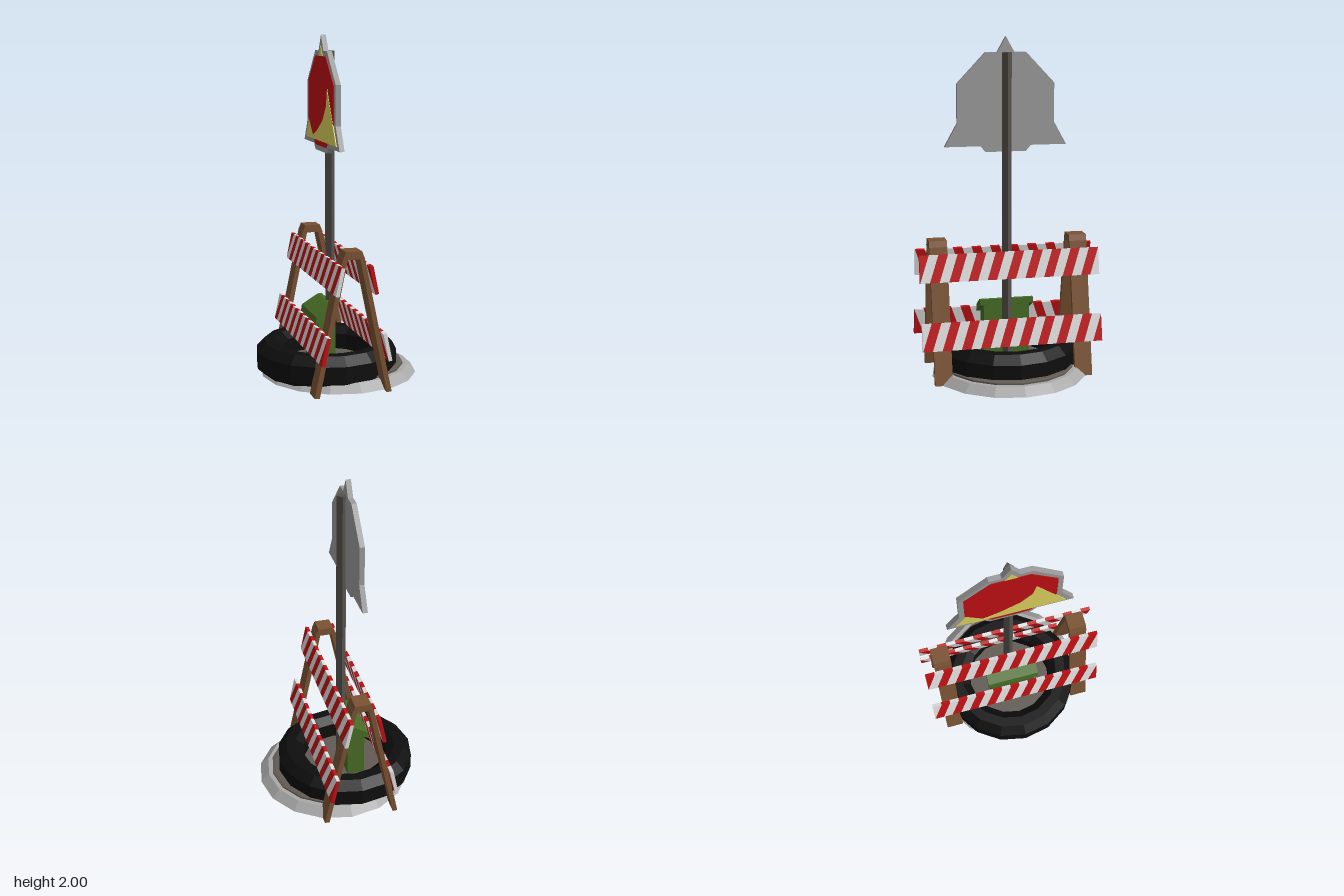
import * as THREE from 'three';
import { mergeGeometries } from 'three/addons/utils/BufferGeometryUtils.js';

const mat = (name, color, side = THREE.FrontSide) => {
  const m = new THREE.MeshStandardMaterial({ color, side });
  m.name = name;
  return m;
};

export function createModel() {
  const red = mat('stripe red', 0xc01014);
  const white = mat('stripe white', 0xdedede);
  const wood = mat('wood brown', 0x7a5232);
  const rubber = mat('rubber black', 0x0e0e0e);
  const lightGrey = mat('base grey', 0xa8a8a8);
  const darkGrey = mat('hub grey', 0x625b54);
  const poleGrey = mat('pole grey', 0x55504a);
  const signGrey = mat('sign grey', 0x9c9c9c);
  const yellow = mat('sign yellow', 0xded35e);
  const green = mat('box green', 0x486c26);

  const model = new THREE.Group();
  const add = (name, geometry, material, parent = model) => {
    const mesh = new THREE.Mesh(geometry, material);
    mesh.name = name;
    parent.add(mesh);
    return mesh;
  };
  const extrude = (points, depth) => new THREE.ExtrudeGeometry(
    new THREE.Shape(points.map(p => new THREE.Vector2(...p))), { depth, bevelEnabled: false });
  // Outline in (-z, y), thickness along +x
  const extrudeX = (points, depth) => extrude(points, depth).rotateY(Math.PI / 2);
  // Outline in (x, y), thickness centred along z
  const extrudeZ = (points, depth) => extrude(points, depth).translate(0, 0, -depth / 2);
  // Sixteen flat-sided turned body
  const turn = (points) => {
    const g = new THREE.LatheGeometry(points.map(p => new THREE.Vector2(...p)), 16).toNonIndexed();
    g.computeVertexNormals();
    return g;
  };

  // Bevelled round base with a raised dark plate
  add('baseRing', turn([[0, 0.002], [0.465, 0.002], [0.415, 0.05], [0.385, 0.05]]), lightGrey).position.x = 0.015;
  add('basePlate', turn([[0.388, 0.045], [0.388, 0.06], [0.37, 0.065], [0, 0.065]]), darkGrey).position.x = 0.015;

  // Tyre lying off-centre on the base
  add('tyre', turn([[0.26, 0.006], [0.37, 0.006], [0.42, 0.05], [0.42, 0.15], [0.37, 0.2],
    [0.31, 0.2], [0.26, 0.16], [0.26, 0.006]]), rubber).position.x = -0.06;

  // Dark and green patches on the underside
  const rad = THREE.MathUtils.degToRad;
  const arcs = [[55, 70, 0.31], [145, 70, 0.26], [225, 40, 0.27], [280, 30, 0.28], [330, 60, 0.27]];
  const patches = arcs.map(([start, span, inner]) =>
    new THREE.RingGeometry(inner, 0.36, 8, 1, rad(start + 225), rad(span)).rotateX(Math.PI / 2));
  add('undersideRubber', mergeGeometries(patches), rubber).position.set(-0.06, 0, 0);
  const greenPatch = new THREE.ShapeGeometry(new THREE.Shape([[-0.14, -0.11], [-0.09, 0.02],
    [-0.05, -0.02], [-0.06, 0.12], [-0.14, 0.1]].map(p => new THREE.Vector2(...p))));
  add('undersideBox', greenPatch.rotateX(Math.PI / 2), green);

  // Green box with a sloping lid
  add('boxBody', extrudeZ([[-0.148, 0.01], [-0.042, 0.01], [-0.042, 0.42], [-0.148, 0.36]], 0.28), green);
  add('boxLid', extrudeZ([[-0.172, 0.335], [-0.04, 0.405], [-0.04, 0.44], [-0.065, 0.44], [-0.165, 0.38]], 0.325), green);

  // Four-sided sign pole
  const pole = new THREE.CylinderGeometry(0.029, 0.029, 1.86, 4).toNonIndexed();
  pole.computeVertexNormals();
  add('pole', pole, poleGrey).position.set(-0.035, 0.98, 0);

  // Sign: octagon joined with a triangle, its face towards -x
  const half = [[0.05, 1.91], [0.12, 1.91], [0.29, 1.73], [0.29, 1.5], [0.365, 1.365], [0.15, 1.365], [0.12, 1.33]];
  const mirrored = half.map(([s, y]) => [-s, y]).reverse();
  add('signPlate', extrudeX([[0, 2], ...half, ...mirrored], 0.03), signGrey).position.x = -0.088;
  const octagon = [];
  for (let i = 0; i < 8; i++) {
    const a = (i + 0.5) * Math.PI / 4;
    octagon.push([Math.cos(a) * 0.281, 1.62 + Math.sin(a) * 0.281]);
  }
  add('signOctagon', extrudeX(octagon, 0.004), red).position.x = -0.092;
  add('signTriangle', extrudeX([[0, 1.94], [-0.316, 1.39], [0.316, 1.39]], 0.003), yellow).position.x = -0.091;
  add('signTriangleFront', extrudeX([[-0.14, 1.7], [-0.12, 1.6], [-0.05, 1.515], [0.06, 1.45],
    [0.22, 1.39], [-0.316, 1.39]], 0.005), yellow).position.x = -0.094;

  // Wooden trestles
  const centreX = -0.0375;
  for (const end of [-1, 1]) {
    const trestle = new THREE.Group();
    trestle.name = end > 0 ? 'frontTrestle' : 'backTrestle';
    trestle.position.set(centreX, 0, end * 0.422);
    model.add(trestle);
    for (const s of [-1, 1]) {
      const leg = [[0.227, 0], [0.062, 0.79], [0.034, 0.79], [0.198, 0]].map(([x, y]) => [s * x, y]);
      add(s > 0 ? 'leftLeg' : 'rightLeg', extrudeZ(leg, 0.104), wood, trestle);
    }
    add('trestleCap', extrudeZ([[-0.064, 0.78], [0.064, 0.78], [0.047, 0.825], [-0.047, 0.825]], 0.106), wood, trestle);
  }

  // Striped boards: nineteen slanted stripes cut through the thickness
  const L = 0.54, stripe = 2 * L / 19, height = 0.163;
  const clamp = s => Math.min(L, Math.max(-L, s));
  const slope = 0.209;
  const makeBoard = (name, y, firstRed, parent) => {
    const sets = [[], []];
    for (let i = -1; i < 19; i++) {
      const a = -L + i * stripe;
      const corners = [[clamp(a), 0], [clamp(a + stripe), 0], [clamp(a + 2 * stripe), height], [clamp(a + stripe), height]];
      const points = corners.filter((p, k) => {
        const q = corners[(k + 1) % 4];
        return Math.hypot(p[0] - q[0], p[1] - q[1]) > 1e-6;
      });
      sets[(i + 2 + firstRed) % 2].push(extrudeX(points, 0.021));
    }
    const board = new THREE.Group();
    board.name = name;
    board.position.set(0.227 - slope * y, y, 0);
    board.rotation.z = Math.atan(slope);
    add('whiteStripes', mergeGeometries(sets[0]), white, board);
    add('redStripes', mergeGeometries(sets[1]), red, board);
    parent.add(board);
  };
  for (const s of [1, -1]) {
    const side = new THREE.Group();
    side.name = s > 0 ? 'leftBoards' : 'rightBoards';
    side.position.x = centreX;
    side.rotation.y = s > 0 ? 0 : Math.PI;
    makeBoard('upperBoard', 0.589, 0, side);
    makeBoard('lowerBoard', 0.2, 1, side);
    model.add(side);
  }
  return model;
}
